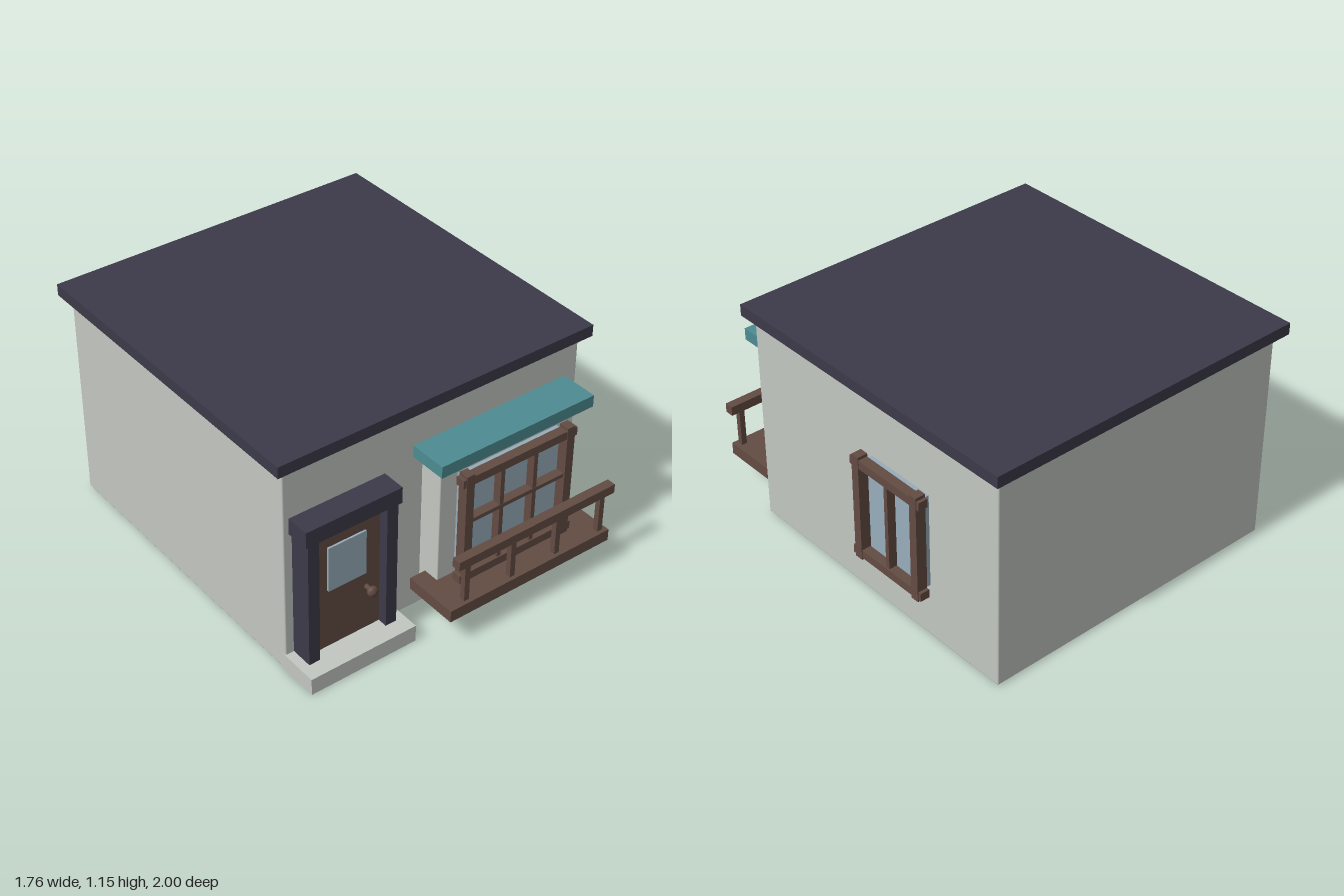
import * as THREE from 'three';
import { RoundedBoxGeometry } from 'three/addons/geometries/RoundedBoxGeometry.js';

const material = (name, color) => {
  const m = new THREE.MeshStandardMaterial({ color });
  m.name = name;
  return m;
};

export function createModel() {
  const wall = material('pale wall', 0xc3c7c1);
  const slate = material('dark slate', 0x3c3a49);
  const wood = material('brown wood', 0x634c43);
  const glass = material('blue glass', 0x97adba);
  const teal = material('teal awning', 0x4d8c92);

  const house = new THREE.Group();
  house.name = 'house';

  const group = (name) => {
    const g = new THREE.Group();
    g.name = name;
    house.add(g);
    return g;
  };

  // Box given by its [min, max] range on each axis; optional rounded edges
  const box = (parent, name, mat, [x0, x1], [y0, y1], [z0, z1], radius = 0) => {
    const size = [x1 - x0, y1 - y0, z1 - z0];
    const geometry = radius
      ? new RoundedBoxGeometry(...size, 2, radius)
      : new THREE.BoxGeometry(...size);
    const mesh = new THREE.Mesh(geometry, mat);
    mesh.name = name;
    mesh.position.set((x0 + x1) / 2, (y0 + y1) / 2, (z0 + z1) / 2);
    parent.add(mesh);
    return mesh;
  };

  // Framed window facing +z, its back on z = 0
  const framedWindow = (name, { half, bottom, mullions, crossbar }) => {
    const g = group(name);
    box(g, 'pane', glass, [-half + 0.025, half - 0.025], [bottom + 0.03, 0.77], [0, 0.04]);
    for (const s of [-1, 1]) {
      const c = s * (half - 0.022);
      box(g, 'framePost', wood, [c - 0.022, c + 0.022], [bottom, 0.81], [0.04, 0.093]);
    }
    for (const [y0, y1] of [[bottom + 0.01, bottom + 0.052], [0.752, 0.795]]) {
      box(g, 'frameRail', wood, [-half - 0.016, half + 0.016], [y0, y1], [0.042, 0.09]);
    }
    for (const x of mullions) {
      box(g, 'mullion', wood, [x - 0.011, x + 0.011], [bottom + 0.04, 0.76], [0.04, 0.083]);
    }
    if (crossbar) {
      box(g, 'crossbar', wood, [-half + 0.03, half - 0.03], [crossbar - 0.01, crossbar + 0.01], [0.04, 0.085]);
    }
    return g;
  };

  // Main block and flat roof
  box(house, 'walls', wall, [-0.835, 0.785], [0.003, 1.096], [-0.955, 0.677], 0.008);
  box(house, 'roof', slate, [-0.88, 0.83], [1.095, 1.153], [-1, 0.717]);

  // Bay with its window and awning
  box(house, 'bay', wall, [-0.095, 0.667], [0.1, 0.817], [0.66, 0.8], 0.006);
  box(house, 'awning', teal, [-0.147, 0.716], [0.848, 0.908], [0.67, 0.87]);
  framedWindow('bayWindow', {
    half: 0.31, bottom: 0.213, mullions: [-0.095, 0.095], crossbar: 0.55,
  }).position.set(0.285, 0, 0.8);

  // Window on the left wall
  const side = framedWindow('sideWindow', { half: 0.214, bottom: 0.257, mullions: [0] });
  side.rotation.y = Math.PI / 2;
  side.position.set(0.784, 0, -0.329);

  // Balcony
  const balcony = group('balcony');
  box(balcony, 'deck', wood, [-0.18, 0.755], [0.152, 0.213], [0.717, 1]);
  box(balcony, 'handrail', wood, [-0.132, 0.778], [0.41, 0.457], [0.943, 0.99]);
  for (let i = 0; i < 4; i++) {
    const x = -0.076 + i * 0.264;
    box(balcony, 'baluster', wood, [x - 0.014, x + 0.014], [0.21, 0.412], [0.953, 0.981]);
  }

  // Doorstep, door frame and door
  const entrance = group('entrance');
  box(entrance, 'doorstep', wall, [-0.837, -0.267], [0, 0.087], [0.66, 0.87]);
  for (const [x0, x1] of [[-0.79, -0.732], [-0.373, -0.315]]) {
    box(entrance, 'doorJamb', slate, [x0, x1], [0.086, 0.75], [0.67, 0.79]);
  }
  box(entrance, 'doorLintel', slate, [-0.805, -0.3], [0.748, 0.83], [0.67, 0.798]);
  box(entrance, 'door', wood, [-0.733, -0.372], [0.086, 0.749], [0.67, 0.74]);
  box(entrance, 'doorPane', glass, [-0.655, -0.452], [0.405, 0.641], [0.735, 0.75]);

  // Round knob on a short stem
  const profile = [[0, 0], [0.012, 0], [0.012, 0.03], [0.024, 0.037], [0.027, 0.05], [0.022, 0.062], [0, 0.067]];
  const knob = new THREE.Mesh(
    new THREE.LatheGeometry(profile.map(([r, h]) => new THREE.Vector2(r, h)), 20), wood);
  knob.name = 'doorKnob';
  knob.rotation.x = Math.PI / 2;
  knob.position.set(-0.445, 0.322, 0.739);
  entrance.add(knob);

  return house;
}
